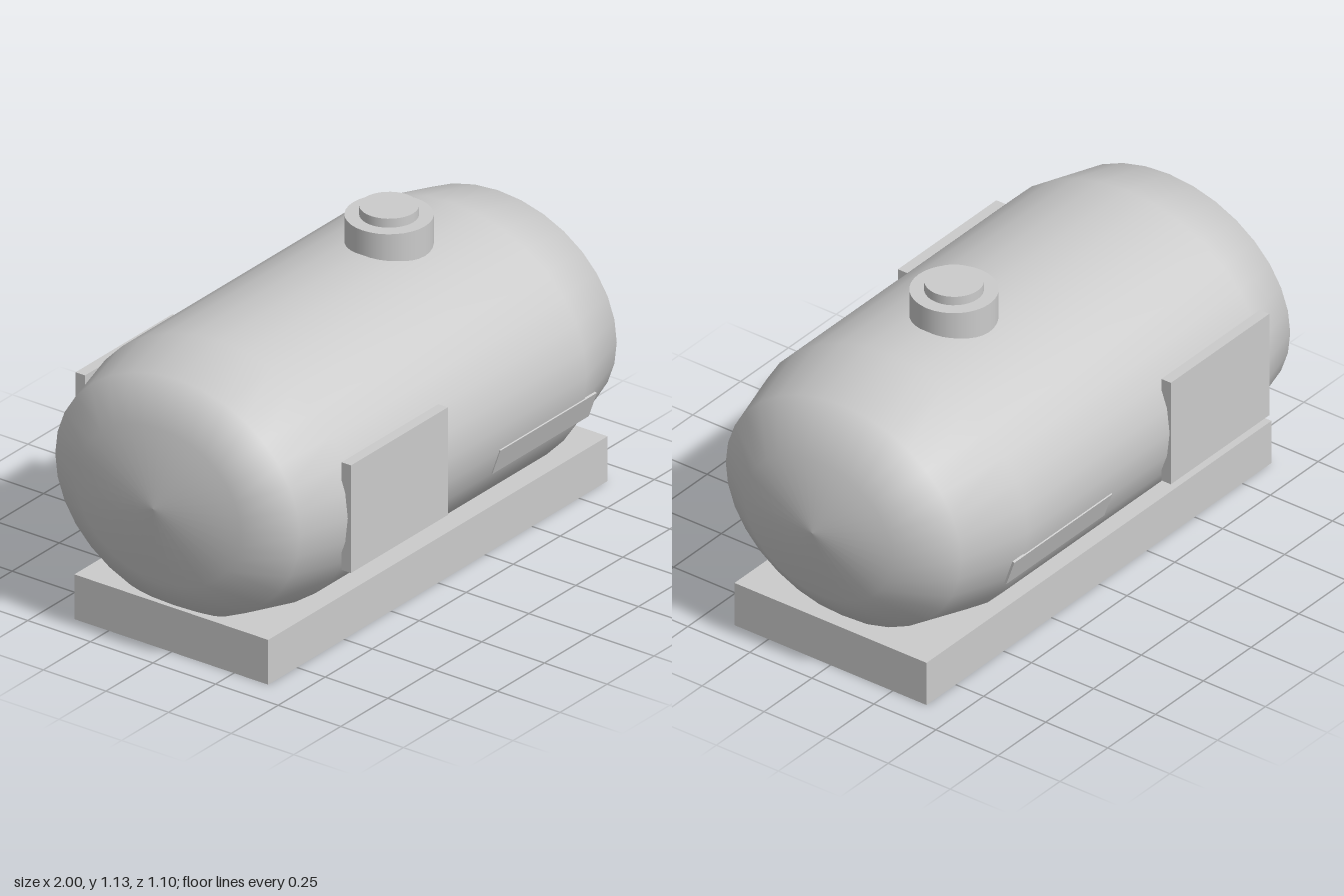
import * as THREE from 'three';

const material = new THREE.MeshStandardMaterial({ color: 0xcccccc });
const CENTRE_Y = 0.55, RADIUS_Y = 0.46, RADIUS_Z = 0.545;

function addMesh(group, name, geometry, x, y, z) {
  const mesh = new THREE.Mesh(geometry, material);
  mesh.name = name;
  mesh.position.set(x, y, z);
  group.add(mesh);
  return mesh;
}

export function createModel() {
  const model = new THREE.Group();
  model.name = 'storageTank';

  // Base slab
  addMesh(model, 'base', new THREE.BoxGeometry(1.805, 0.16, 0.774), 0, 0.08, 0);

  // Oval tank with domed ends: unit-radius profile (radius, x), laid on its side
  const profile = [
    [0, -1], [0.6, -0.97], [0.895, -0.87], [1, -0.65],
    [1, 0.58], [0.87, 0.835], [0.545, 0.965], [0, 1],
  ].map(([r, x]) => new THREE.Vector2(r, x));
  const tank = new THREE.LatheGeometry(profile, 32);
  tank.rotateZ(-Math.PI / 2);
  tank.scale(1, RADIUS_Y, RADIUS_Z);
  addMesh(model, 'tank', tank, 0, CENTRE_Y, 0);

  // Filler neck and lid
  addMesh(model, 'fillerNeck', new THREE.CylinderGeometry(0.143, 0.143, 0.16, 32), 0.256, 1.018, 0);
  addMesh(model, 'fillerLid', new THREE.CylinderGeometry(0.096, 0.096, 0.06, 32), 0.256, 1.1, 0);

  // Side panels, and narrow plates lying along the curve of the tank
  const lowY = 0.375, highY = 0.468;
  const surfaceZ = (y) => RADIUS_Z * Math.sqrt(1 - ((y - CENTRE_Y) / RADIUS_Y) ** 2);
  const lean = Math.atan2(surfaceZ(highY) - surfaceZ(lowY), highY - lowY);
  const plateHeight = Math.hypot(surfaceZ(highY) - surfaceZ(lowY), highY - lowY);
  const plateZ = (surfaceZ(lowY) + surfaceZ(highY)) / 2;
  for (const side of [1, -1]) {
    const end = side > 0 ? 'front' : 'back';
    addMesh(model, end + 'Panel', new THREE.BoxGeometry(0.515, 0.385, 0.038), -0.422, 0.551, side * 0.531);
    const plate = addMesh(model, end + 'Plate', new THREE.BoxGeometry(0.513, plateHeight, 0.008),
      0.385, (lowY + highY) / 2, side * plateZ);
    plate.rotation.x = side * lean;
  }
  return model;
}
